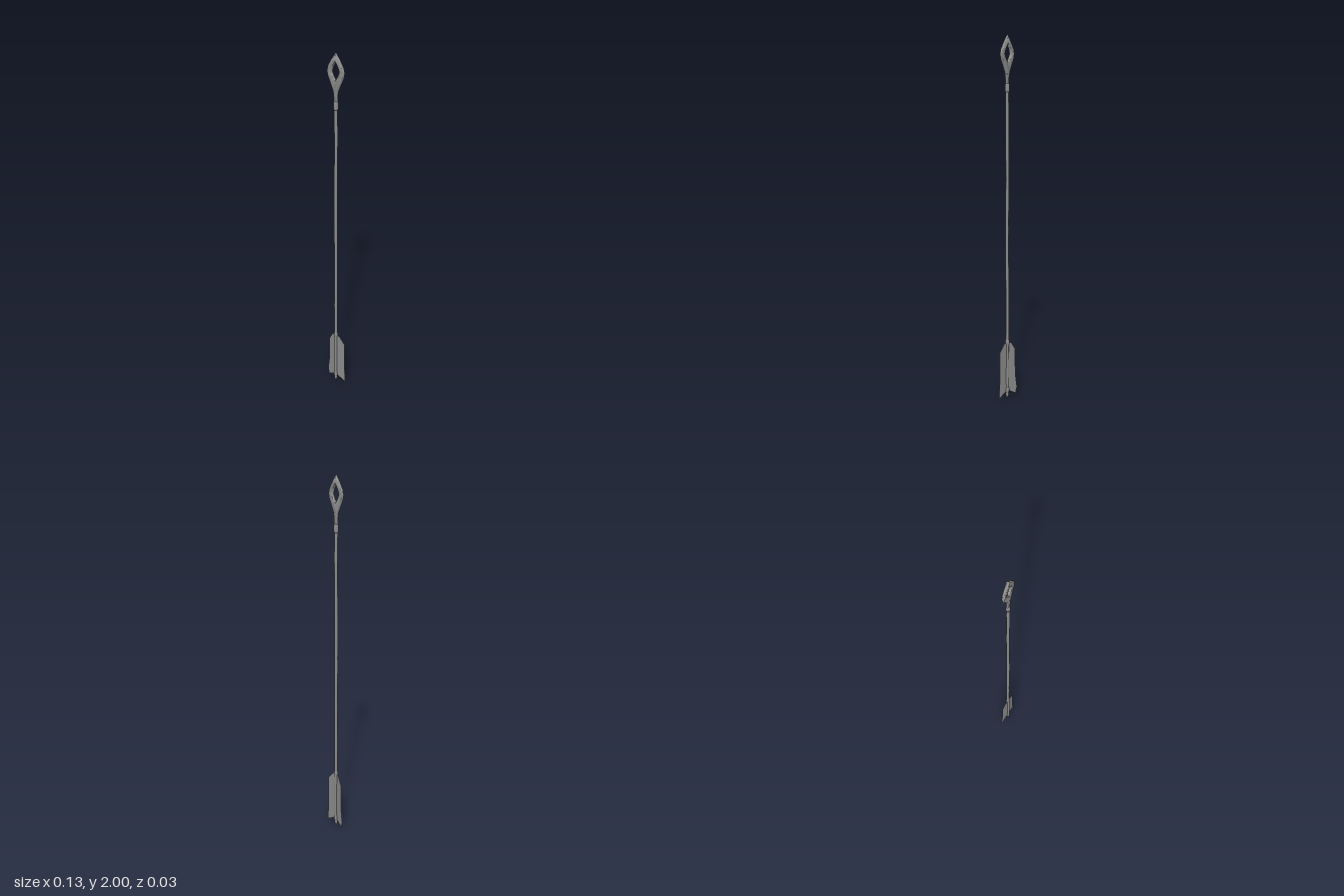
import * as THREE from 'three';
import { toCreasedNormals } from 'three/addons/utils/BufferGeometryUtils.js';

const CX = -0.004; // axis of the arrow
const V = (list) => list.map(([x, y]) => new THREE.Vector2(x, y));

export function createModel() {
  const group = new THREE.Group();
  const mat = new THREE.MeshStandardMaterial({ color: 0x8c8c8c });

  const add = (name, geometry) => {
    const mesh = new THREE.Mesh(geometry, mat);
    mesh.name = name;
    mesh.position.x = CX;
    group.add(mesh);
    return mesh;
  };
  const turned = (name, profile) => add(name, new THREE.LatheGeometry(V(profile), 10));

  // Slightly uneven wooden shaft
  const rows = 24;
  const shaftProfile = [];
  for (let i = 0; i <= rows; i++) {
    shaftProfile.push([0.009 + 0.0004 * Math.sin(i * 2.1), 0.05 + (1.7 * i) / rows]);
  }
  const shaft = turned('shaft', shaftProfile);
  const pos = shaft.geometry.attributes.position;
  for (let i = 0; i < pos.count; i++) {
    const y = pos.getY(i);
    pos.setX(i, pos.getX(i) + 0.001 * Math.sin(y * 9));
    pos.setZ(i, pos.getZ(i) + 0.0008 * Math.sin(y * 7 + 1));
  }

  // Collar under the head, binding above the feathers, and nock
  turned('headCollar', [[0, 1.712], [0.0105, 1.713], [0.0125, 1.72], [0.0125, 1.75], [0.0105, 1.757], [0, 1.758]]);
  turned('binding', [[0.008, 0.318], [0.0115, 0.328], [0.0115, 0.346], [0.008, 0.358]]);
  turned('nock', [[0, 0], [0.007, 0.002], [0.0095, 0.018], [0.0085, 0.028], [0.0115, 0.036], [0.0115, 0.052], [0.008, 0.062]]);

  // Pierced leaf-shaped head with softly bevelled edges
  const half = [
    [0.006, 1.75], [0.0065, 1.79], [0.012, 1.815], [0.026, 1.848],
    [0.041, 1.88], [0.046, 1.905], [0.041, 1.927], [0.02, 1.963],
  ];
  const mirrored = half.map(([x, y]) => [-x, y]).reverse();
  const head = new THREE.Shape(V([...half, [0, 1.992], ...mirrored]));
  head.holes.push(new THREE.Path(V([
    [0, 1.858], [-0.017, 1.884], [-0.026, 1.905], [-0.018, 1.93],
    [0, 1.96], [0.018, 1.93], [0.026, 1.905], [0.017, 1.884],
  ])));
  const headGeometry = new THREE.ExtrudeGeometry(head, {
    depth: 0.004, bevelEnabled: true, bevelThickness: 0.006, bevelSize: 0.005, bevelSegments: 1,
  });
  headGeometry.translate(0, 0, -0.002);
  add('head', toCreasedNormals(headGeometry, 1));

  // Two thin feather vanes; the right one is bent backwards
  const vane = (name, outline, turn) => {
    const geometry = new THREE.ExtrudeGeometry(new THREE.Shape(V(outline)), { depth: 0.002, bevelEnabled: false });
    geometry.translate(0, 0, -0.001);
    add(name, geometry).rotation.y = turn;
  };
  vane('leftVane', [
    [0, 0.04], [0.008, 0.04], [0.067, 0.01], [0.066, 0.05], [0.062, 0.12], [0.062, 0.285], [0.025, 0.33], [0, 0.336],
  ], 0);
  vane('rightVane', [
    [0, 0.04], [-0.01, 0.038], [-0.057, 0.008], [-0.067, 0.045], [-0.055, 0.13], [-0.054, 0.28], [-0.027, 0.326], [0, 0.336],
  ], -0.22);

  return group;
}
